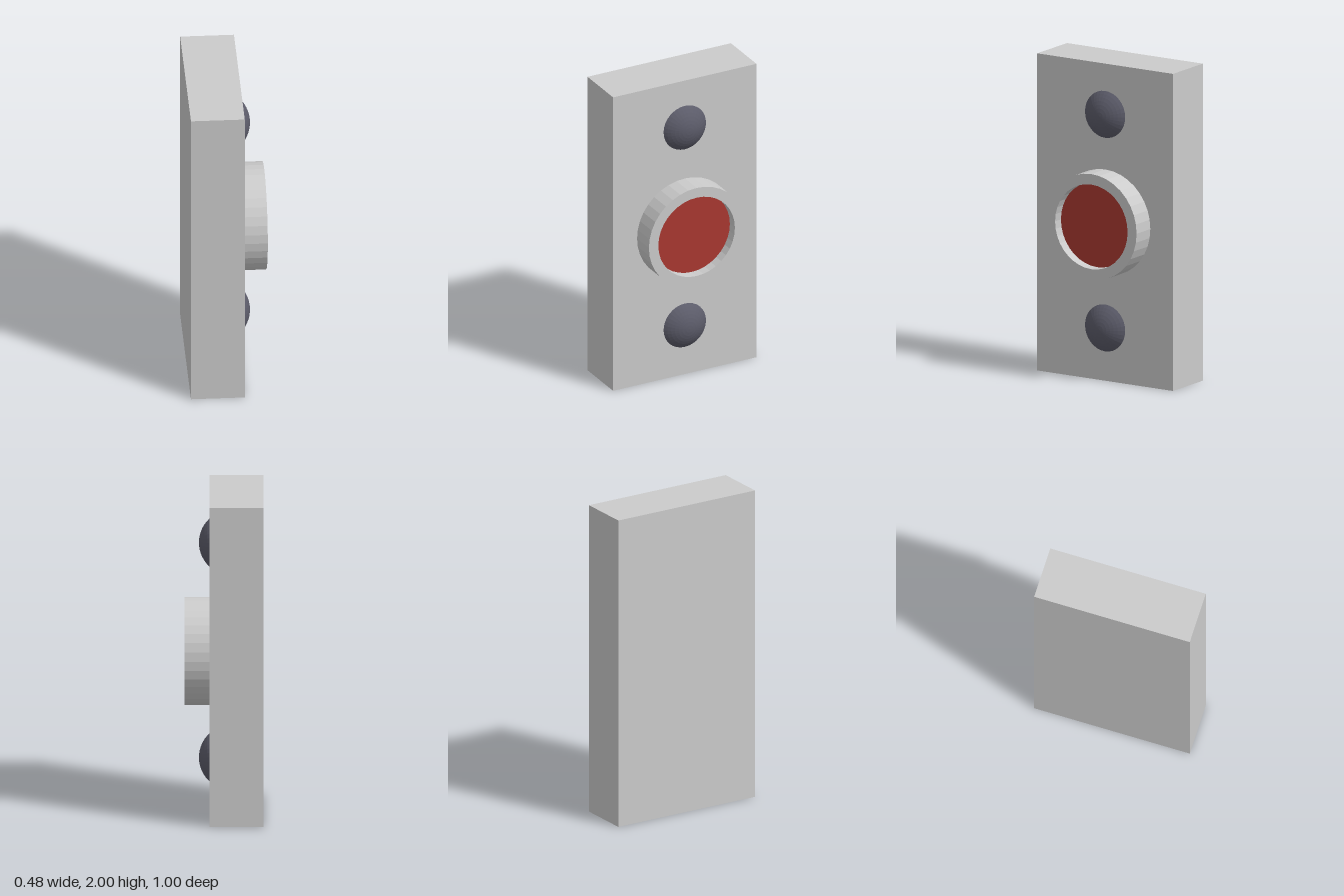
import * as THREE from 'three';

const FACE_X = 0.088; // mounting face of the plate
const RIM_X = 0.241; // outer end of the ring
const LENS_X = 0.176; // recessed disc

export function createModel() {
  const model = new THREE.Group();
  const grey = new THREE.MeshStandardMaterial({ color: 0xcccccc, flatShading: true });
  const red = new THREE.MeshStandardMaterial({ color: 0xa93830, flatShading: true });
  const dark = new THREE.MeshStandardMaterial({ color: 0x5c5c6a, flatShading: true });

  const add = (name, geometry, material, x, y) => {
    const mesh = new THREE.Mesh(geometry, material);
    mesh.name = name;
    mesh.position.set(x, y, 0);
    model.add(mesh);
    return mesh;
  };

  // Backing plate
  add('plate', new THREE.BoxGeometry(0.331, 2, 1), grey, -0.0775, 1);

  // Hollow ring, turned about an axis that points along +x
  const depth = RIM_X - FACE_X;
  const profile = [[0.267, 0], [0.333, 0], [0.333, depth], [0.267, depth], [0.267, 0]]
    .map(([r, h]) => new THREE.Vector2(r, h));
  const ring = new THREE.LatheGeometry(profile, 36).rotateZ(-Math.PI / 2);
  add('ring', ring, grey, FACE_X, 1);

  // Red disc recessed inside the ring
  const disc = new THREE.CylinderGeometry(0.267, 0.267, LENS_X - FACE_X, 36).rotateZ(-Math.PI / 2);
  add('lens', disc, red, (FACE_X + LENS_X) / 2, 1);

  // Shallow domes above and below the ring
  const radius = 0.201;
  const capAngle = Math.asin(0.148 / radius);
  const dome = new THREE.SphereGeometry(radius, 32, 7, 0, Math.PI * 2, 0, capAngle).rotateZ(-Math.PI / 2);
  const domeX = FACE_X - radius * Math.cos(capAngle);
  add('upperDome', dome, dark, domeX, 1.68);
  add('lowerDome', dome, dark, domeX, 0.333);

  return model;
}
